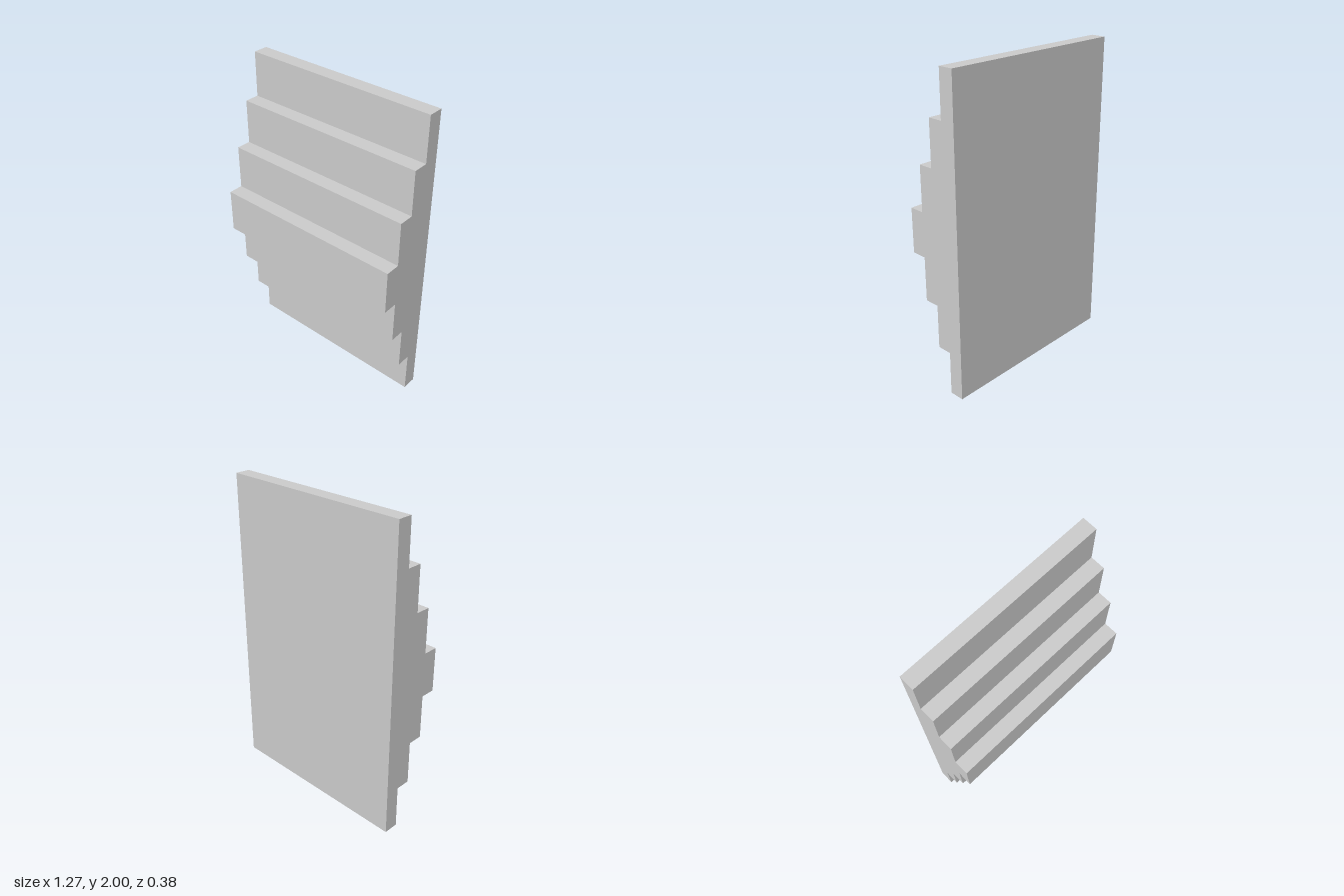
import * as THREE from 'three';

const WIDTH = 1.266, HEIGHT = 2, DEPTH = 0.38;
const BANDS = 7, LEVELS = 4;

// Side outline: flat back, front stepping out to the middle band and back in
function steppedProfile() {
  const bandHeight = HEIGHT / BANDS;
  const back = -DEPTH / 2;
  const shape = new THREE.Shape();
  shape.moveTo(back, 0);
  for (let i = 0; i < BANDS; i++) {
    const level = 1 + Math.min(i, BANDS - 1 - i);
    const front = back + (DEPTH / LEVELS) * level;
    shape.lineTo(front, i * bandHeight);
    shape.lineTo(front, (i + 1) * bandHeight);
  }
  shape.lineTo(back, HEIGHT);
  shape.closePath();
  return shape;
}

export function createModel() {
  const group = new THREE.Group();
  group.name = 'steppedPanel';

  // Profile swept across the full width, turned so its outline faces sideways
  const geometry = new THREE.ExtrudeGeometry(steppedProfile(), { depth: WIDTH, bevelEnabled: false });
  geometry.translate(0, 0, -WIDTH / 2);
  geometry.rotateY(-Math.PI / 2);

  const material = new THREE.MeshStandardMaterial({ color: 0xcccccc, flatShading: true });
  const panel = new THREE.Mesh(geometry, material);
  panel.name = 'panel';
  group.add(panel);
  return group;
}
